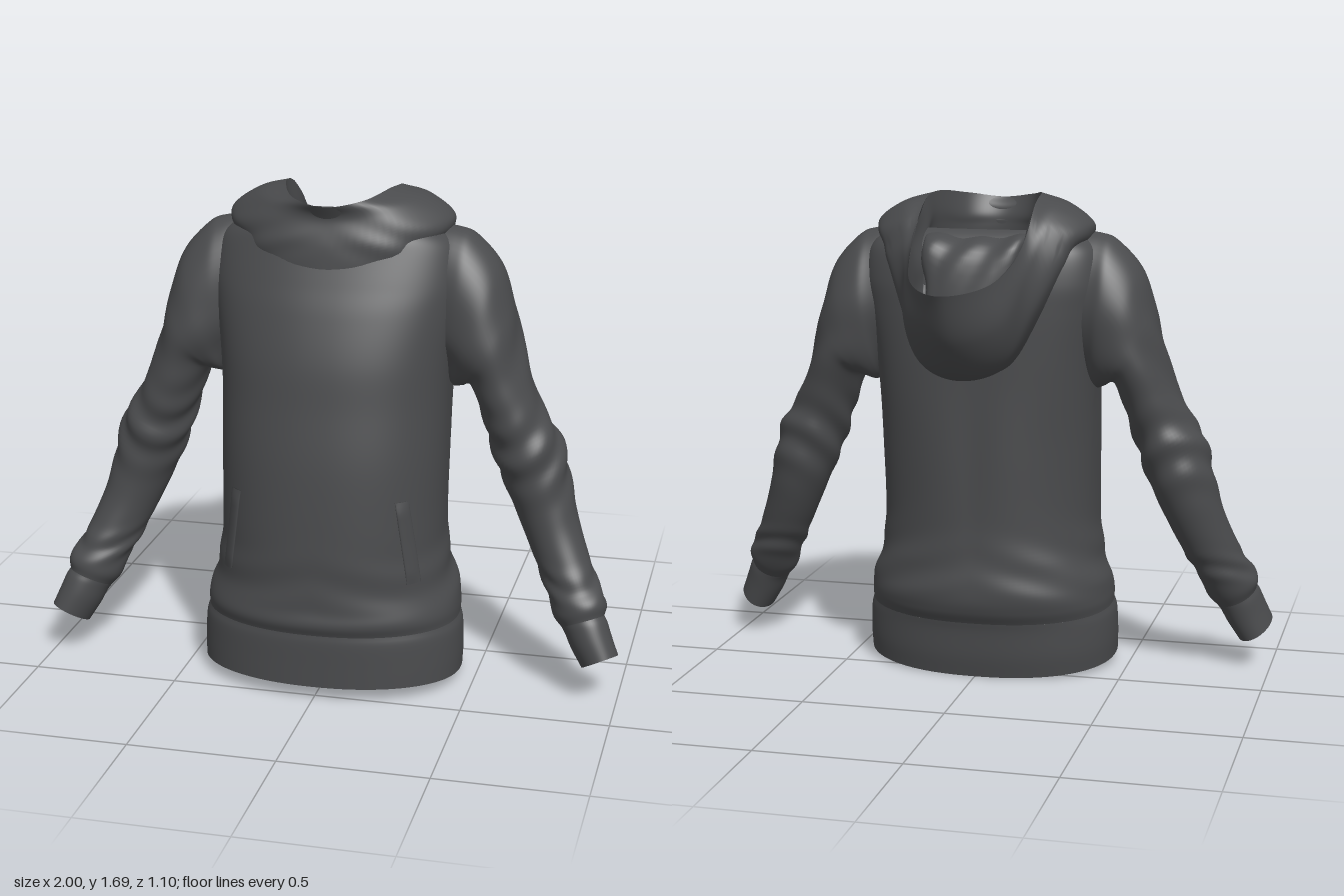
import * as THREE from 'three';

const cloth = new THREE.MeshStandardMaterial({ color: 0x4a4b4d, roughness: 0.9, side: THREE.DoubleSide });
const V = (x, y, z) => new THREE.Vector3(x, y, z);
const bell = (t, c, w) => Math.exp(-(((t - c) / w) ** 2));

// Smooth surface through closed rings of points, with an optional wrinkle depth along the normals
function loft(name, rings, steps, around, wrinkle) {
  const dense = rings.map(r => {
    const c = new THREE.CatmullRomCurve3(r, true, 'catmullrom', 0.5);
    return Array.from({ length: around }, (_, j) => c.getPoint(j / around));
  });
  const pos = [], idx = [];
  const cols = Array.from({ length: around }, (_, j) =>
    new THREE.CatmullRomCurve3(dense.map(r => r[j]), false, 'catmullrom', 0.5));
  for (let i = 0; i <= steps; i++) {
    for (let j = 0; j < around; j++) {
      pos.push(...cols[j].getPoint(i / steps).toArray());
      if (i === steps) continue;
      const a = i * around + j, b = i * around + (j + 1) % around;
      idx.push(a, a + around, b, b, a + around, b + around);
    }
  }
  const geo = new THREE.BufferGeometry();
  geo.setAttribute('position', new THREE.Float32BufferAttribute(pos, 3));
  geo.setIndex(idx);
  geo.computeVertexNormals();
  if (wrinkle) {
    const p = geo.attributes.position, n = geo.attributes.normal;
    for (let i = 0; i < p.count; i++) {
      const q = V(0, 0, 0).fromBufferAttribute(p, i);
      q.addScaledVector(V(0, 0, 0).fromBufferAttribute(n, i), wrinkle(q));
      p.setXYZ(i, q.x, q.y, q.z);
    }
    geo.computeVertexNormals();
  }
  const mesh = new THREE.Mesh(geo, cloth);
  mesh.name = name;
  return mesh;
}

// Torso section: round in front, squarer across the upper back; the lower rings dip towards the back
const FRONT_POWER = 2.2;
function torsoRing([y, w, front, back]) {
  const drop = 0.054 * Math.max(0, 1 - y / 0.6);
  const backPower = 2.3 + 0.8 * THREE.MathUtils.smoothstep(y, 0.5, 1.2);
  return Array.from({ length: 64 }, (_, j) => {
    const a = j / 64 * Math.PI * 2, c = Math.cos(a), s = Math.sin(a);
    const e = 2 / (s > 0 ? FRONT_POWER : backPower);
    return V(w * Math.sign(c) * Math.abs(c) ** e, y - drop * ((1 - s) / 2) ** 1.5,
      (front + back) / 2 + (front - back) / 2 * Math.sign(s) * Math.abs(s) ** e);
  });
}

// y, half width, front z, back z
const hem = [
  [0.05, 0.45, 0.54, -0.085], [0.12, 0.452, 0.54, -0.1],
  [0.2, 0.448, 0.54, -0.108], [0.235, 0.438, 0.536, -0.115],
];
const torso = [
  [0.235, 0.438, 0.536, -0.115], [0.275, 0.438, 0.55, -0.138], [0.33, 0.427, 0.541, -0.15],
  [0.42, 0.4, 0.538, -0.14], [0.55, 0.385, 0.537, -0.13], [0.8, 0.385, 0.52, -0.128],
  [1.0, 0.387, 0.49, -0.128], [1.15, 0.397, 0.465, -0.13], [1.3, 0.418, 0.42, -0.13],
  [1.4, 0.428, 0.38, -0.125], [1.5, 0.41, 0.34, -0.105], [1.55, 0.36, 0.325, -0.07],
  [1.575, 0.29, 0.315, -0.03], [1.56, 0.22, 0.315, -0.005],
];

function torsoFolds(p) {
  const side = Math.abs(p.x), fade = Math.min(1, Math.max(0, (p.y - 0.24) * 12));
  return fade * 0.007 * bell(p.y, 0.38, 0.12) * Math.sin(42 * p.y + 14 * side + 9 * p.z) * (0.25 + side)
    + (p.z < 0.1 ? 0.006 * Math.sin(17 * side) * bell(p.y, 0.8, 0.3) : 0);
}

// Sleeve sections: outer x, y, inner x, y, front z, back z
const sleeve = [
  [0.3, 1.57, 0.3, 1.12, 0.23, -0.03], [0.4, 1.56, 0.36, 1.06, 0.26, -0.05],
  [0.46, 1.535, 0.385, 1.03, 0.275, -0.066], [0.545, 1.44, 0.4, 1.02, 0.288, -0.068],
  [0.592, 1.3, 0.425, 1.03, 0.29, -0.06], [0.625, 1.17, 0.455, 1.04, 0.287, -0.045],
  [0.665, 1.04, 0.487, 0.96, 0.282, -0.02], [0.713, 0.94, 0.522, 0.85, 0.275, 0.0],
  [0.768, 0.85, 0.558, 0.74, 0.272, 0.005], [0.8, 0.73, 0.602, 0.64, 0.264, 0.02],
  [0.835, 0.59, 0.658, 0.52, 0.27, 0.06], [0.88, 0.47, 0.712, 0.41, 0.298, 0.105],
  [0.918, 0.39, 0.75, 0.335, 0.33, 0.14], [0.95, 0.335, 0.772, 0.275, 0.352, 0.17],
  [0.945, 0.295, 0.803, 0.24, 0.352, 0.197],
];
const cuff = [
  [0.945, 0.295, 0.803, 0.24, 0.352, 0.197], [0.957, 0.275, 0.817, 0.22, 0.362, 0.203],
  [0.975, 0.23, 0.84, 0.175, 0.375, 0.215], [1.0, 0.17, 0.88, 0.112, 0.388, 0.23],
];
function sleeveRing([ox, oy, ix, iy, front, back], side) {
  const lift = 0.035 * Math.max(0, 1 - oy / 1.1);
  return Array.from({ length: 20 }, (_, j) => {
    const a = j / 20 * Math.PI * 2, c = Math.cos(a), s = -Math.sin(a) * side;
    return V(side * ((ox + ix) / 2 + c * (ox - ix) / 2), (oy + iy) / 2 + c * (oy - iy) / 2 + s * lift,
      (front + back) / 2 + s * (front - back) / 2);
  });
}
function sleeveFolds(p) {
  const x = Math.abs(p.x);
  return 0.007 * bell(p.y, 0.82, 0.13) * Math.sin(42 * p.y - 24 * x + 32 * p.z)
    + 0.005 * bell(p.y, 0.39, 0.05) * Math.sin(80 * p.y + 35 * p.z)
    + 0.004 * bell(p.y, 1.15, 0.15) * Math.sin(26 * p.y + 30 * p.z);
}

// Hood rings, each given from the front centre round one side to the back centre
const hoodBase = [[0, 1.4, 0.365], [0.22, 1.43, 0.305], [0.36, 1.535, 0.13], [0.33, 1.49, -0.03],
  [0.23, 1.28, -0.1], [0.13, 1.12, -0.115], [0, 1.09, -0.12]];
const hoodBulge = [[0, 1.52, 0.35], [0.24, 1.545, 0.3], [0.378, 1.593, 0.12], [0.335, 1.56, -0.05],
  [0.232, 1.33, -0.19], [0.145, 1.155, -0.28], [0, 1.1, -0.31]];
const hoodMid = [[0, 1.61, 0.325], [0.2, 1.635, 0.28], [0.29, 1.658, 0.12], [0.262, 1.63, -0.05],
  [0.215, 1.45, -0.21], [0.16, 1.29, -0.375], [0, 1.235, -0.465]];
const hoodRim = [[0, 1.655, 0.35], [0.12, 1.672, 0.295], [0.185, 1.69, 0.13], [0.195, 1.66, -0.02],
  [0.188, 1.53, -0.2], [0.135, 1.435, -0.41], [0, 1.41, -0.55]];
const liningSide = [[0, 1.6, 0.32], [0.115, 1.6, 0.27], [0.18, 1.62, 0.125], [0.18, 1.58, -0.02],
  [0.175, 1.4, -0.19], [0.13, 1.31, -0.36], [0, 1.27, -0.445]];
const liningFloor = [[0, 1.56, 0.315], [0.12, 1.56, 0.27], [0.185, 1.57, 0.12], [0.18, 1.53, -0.03],
  [0.15, 1.31, -0.17], [0.1, 1.2, -0.23], [0, 1.16, -0.26]];
const liningNape = [[0, 1.51, 0.316], [0.12, 1.51, 0.275], [0.19, 1.52, 0.12], [0.18, 1.55, -0.03],
  [0.165, 1.53, -0.13], [0.09, 1.5, -0.16], [0, 1.49, -0.165]];
const neckEdge = [[0, 1.45, 0.32], [0.12, 1.45, 0.28], [0.19, 1.46, 0.13], [0.185, 1.54, 0.03],
  [0.155, 1.57, 0.005], [0.08, 1.57, -0.005], [0, 1.57, -0.005]];
const hoodRing = half => [
  ...half.map(([x, y, z]) => V(-x, y, z)),
  ...half.slice(1, -1).reverse().map(([x, y, z]) => V(x, y, z)),
];
const hoodFolds = p => 0.004 * Math.min(1, Math.abs(p.x) * 5) * bell(p.y, 1.55, 0.07)
  * Math.sin(60 * p.y + 25 * Math.abs(p.x)) * (p.z > -0.1 ? 1 : 0.4);
const liningFolds = p => 0.006 * bell(p.z, -0.14, 0.1) * Math.sin(45 * p.x + 30 * p.y);

// Front z of the torso at a given x and y
function chestZ(x, y) {
  const i = Math.max(1, torso.findIndex(r => r[0] > y));
  const a = torso[i - 1], b = torso[i], t = (y - a[0]) / (b[0] - a[0]);
  const [w, f, k] = [1, 2, 3].map(n => a[n] + (b[n] - a[n]) * t);
  return (f + k) / 2 + (f - k) / 2 * Math.max(0, 1 - Math.abs(x / w) ** FRONT_POWER) ** (1 / FRONT_POWER);
}

// Slanted pocket welt: a thin flattened tube laid on the torso
function welt(side) {
  const rings = [];
  for (let i = 0; i <= 8; i++) {
    const t = i / 8, y = 0.7 - 0.29 * t, x = 0.283 + 0.04 * t;
    const h = i % 8 === 0 ? 0.002 : 0.011;
    rings.push(Array.from({ length: 10 }, (_, j) => {
      const a = j / 10 * Math.PI * 2, px = x + 0.02 * Math.cos(a);
      return V(side * px, y, chestZ(px, y) + 0.004 - h * side * Math.sin(a));
    }));
  }
  return loft(side > 0 ? 'leftPocketWelt' : 'rightPocketWelt', rings, 20, 16);
}

export function createModel() {
  const g = new THREE.Group();
  g.name = 'hoodedSweatshirt';

  // Torso and ribbed hem band
  g.add(loft('torso', torso.map(torsoRing), 110, 128, torsoFolds));
  g.add(loft('hemBand', hem.map(torsoRing), 14, 128));

  // Sleeves, cuffs and pockets on both sides
  for (const side of [1, -1]) {
    const label = side > 0 ? 'left' : 'right';
    g.add(loft(label + 'Sleeve', sleeve.map(r => sleeveRing(r, side)), 110, 56, sleeveFolds));
    g.add(loft(label + 'Cuff', cuff.map(r => sleeveRing(r, side)), 14, 56));
    g.add(welt(side));
  }

  // Lowered hood and its lining
  g.add(loft('hood', [hoodBase, hoodBulge, hoodMid, hoodRim].map(hoodRing), 36, 120, hoodFolds));
  g.add(loft('hoodLining', [hoodRim, liningSide, liningFloor, liningNape, neckEdge].map(hoodRing), 40, 120, liningFolds));
  return g;
}
